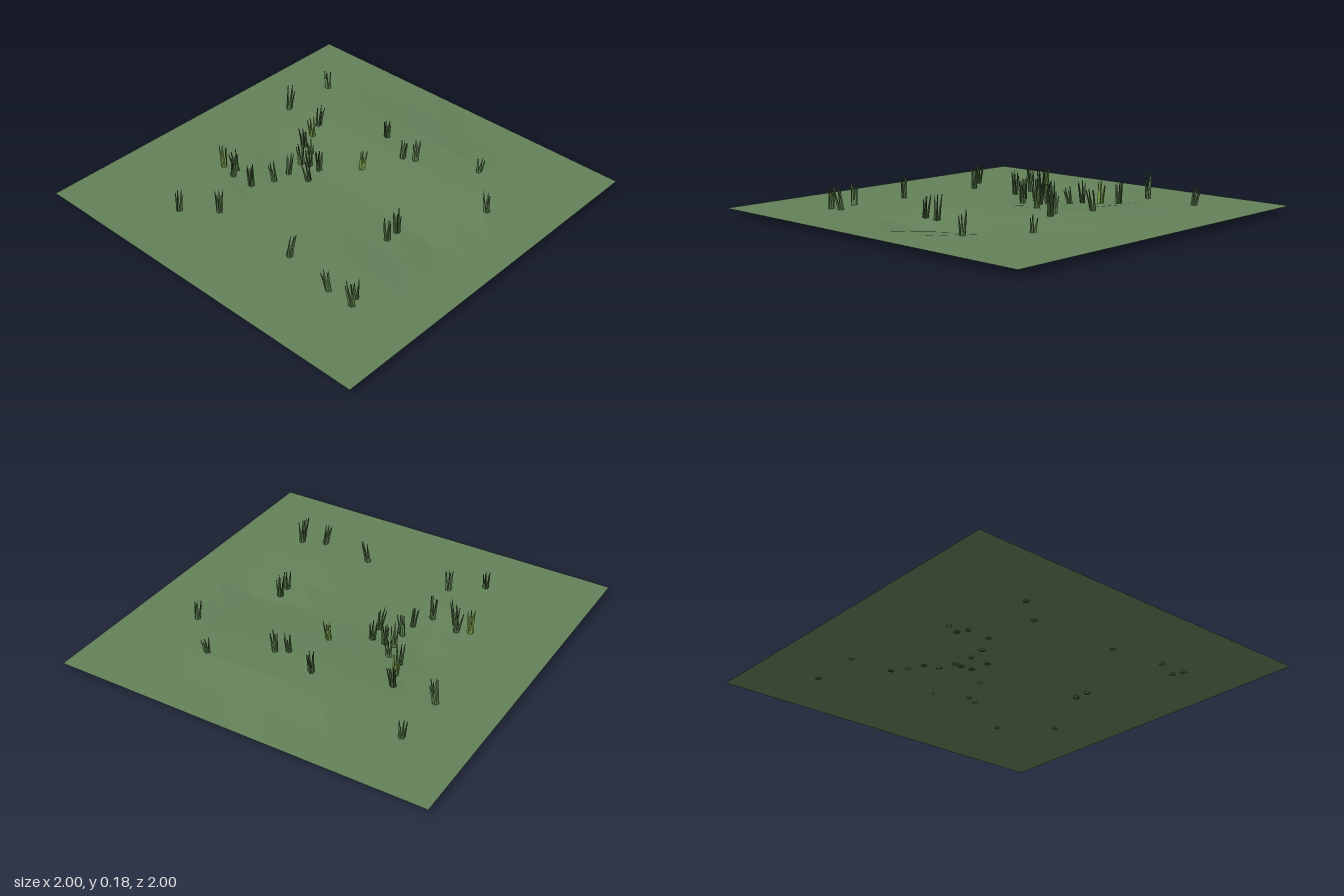
import * as THREE from 'three';
import { mergeGeometries } from 'three/addons/utils/BufferGeometryUtils.js';

// Gentle mounds and hollows: x, z, height change, radius
const MOUNDS = [
  [0.5, 0, 0.036, 0.4], [-0.5, 0.1, 0.009, 0.35], [0, 0.6, -0.034, 0.24],
  [0, -0.4, -0.027, 0.26], [-0.6, -0.6, -0.006, 0.3], [0.6, 0.6, 0.006, 0.25],
];

// Ground level, flat along the outer border
function groundHeight(x, z) {
  const border = (v) => Math.min(1, (1 - Math.abs(v)) / 0.4);
  let y = 0;
  for (const [mx, mz, h, r] of MOUNDS) {
    y += h * Math.exp(-((x - mx) ** 2 + (z - mz) ** 2) / (r * r));
  }
  return Math.max(0, 0.035 + y * border(x) * border(z));
}

// Tufts: x, z, top height, shade (0 dark, 1 middle, 2 bright)
const TUFTS = [
  [-0.66, -0.45, 0.14, 0], [-0.54, -0.29, 0.16, 1], [-0.28, -0.34, 0.16, 0],
  [-0.28, -0.46, 0.17, 1], [-0.26, -0.56, 0.16, 2], [-0.24, -0.5, 0.15, 0],
  [-0.17, -0.29, 0.14, 1], [-0.07, -0.27, 0.15, 1], [-0.06, -0.16, 0.14, 0],
  [0.03, -0.29, 0.15, 1], [0.04, -0.24, 0.14, 0], [0.05, -0.18, 0.14, 0],
  [0.12, -0.31, 0.12, 1], [0.15, -0.385, 0.14, 0], [0.25, -0.42, 0.155, 2],
  [0.34, -0.45, 0.155, 0], [0.35, -0.68, 0.18, 1], [0.65, -0.68, 0.14, 1],
  [0.47, -0.08, 0.17, 0], [0.19, 0, 0.16, 2], [0.39, 0.1, 0.17, 1],
  [0.42, 0.16, 0.18, 1], [-0.55, 0.215, 0.17, 1], [-0.61, 0.5, 0.15, 1],
  [-0.61, 0.645, 0.165, 1], [-0.565, 0.635, 0.155, 1], [-0.13, 0.445, 0.135, 0],
  [-0.055, 0.44, 0.15, 0], [0.58, 0.45, 0.13, 1], [0.35, 0.67, 0.15, 1],
];

let seed = 7;
function random() {
  seed = (seed * 16807) % 2147483647;
  return seed / 2147483647;
}

// One three-sided blade from a base point to a narrow tip
function makeBlade(base, tip) {
  const direction = tip.clone().sub(base);
  const length = direction.length();
  const blade = new THREE.CylinderGeometry(0.002, 0.008, length, 3);
  blade.translate(0, length / 2, 0);
  blade.rotateY(random() * Math.PI);
  blade.applyQuaternion(new THREE.Quaternion().setFromUnitVectors(
    new THREE.Vector3(0, 1, 0), direction.normalize()));
  return blade.translate(base.x, base.y, base.z);
}

// Five blades splaying from a shared root, with a slight common lean
function makeTuft(height) {
  const turn = random() * Math.PI * 2;
  const leanX = (random() - 0.5) * 0.016;
  const leanZ = (random() - 0.5) * 0.016;
  const blades = [];
  for (let i = 0; i < 5; i++) {
    const a = turn + (i / 5) * Math.PI * 2;
    const spread = 0.014 + random() * 0.008;
    blades.push(makeBlade(
      new THREE.Vector3(Math.cos(a) * 0.009 - leanX, -0.004, Math.sin(a) * 0.009 - leanZ),
      new THREE.Vector3(Math.cos(a) * spread + leanX, height * (i === 0 ? 1 : 0.75 + random() * 0.23),
        Math.sin(a) * spread + leanZ)));
  }
  return mergeGeometries(blades);
}

export function createModel() {
  const model = new THREE.Group();
  model.name = 'grassPatch';

  // Faceted ground sheet
  const groundGeometry = new THREE.PlaneGeometry(2, 2, 10, 10).rotateX(-Math.PI / 2);
  const p = groundGeometry.attributes.position;
  for (let i = 0; i < p.count; i++) p.setY(i, groundHeight(p.getX(i), p.getZ(i)));
  groundGeometry.computeVertexNormals();
  const ground = new THREE.Mesh(groundGeometry, new THREE.MeshStandardMaterial({
    color: 0x64825a, flatShading: true, side: THREE.DoubleSide,
  }));
  ground.name = 'ground';
  model.add(ground);

  // Scattered grass tufts
  const shades = [0x456138, 0x5a7d4c, 0x759c48].map((color) =>
    new THREE.MeshStandardMaterial({ color, flatShading: true }));
  const tufts = new THREE.Group();
  tufts.name = 'grassTufts';
  for (const [x, z, top, shade] of TUFTS) {
    const y = groundHeight(x, z);
    const tuft = new THREE.Mesh(makeTuft(top - y), shades[shade]);
    tuft.name = 'grassTuft';
    tuft.position.set(x, y, z);
    tufts.add(tuft);
  }
  model.add(tufts);
  return model;
}
